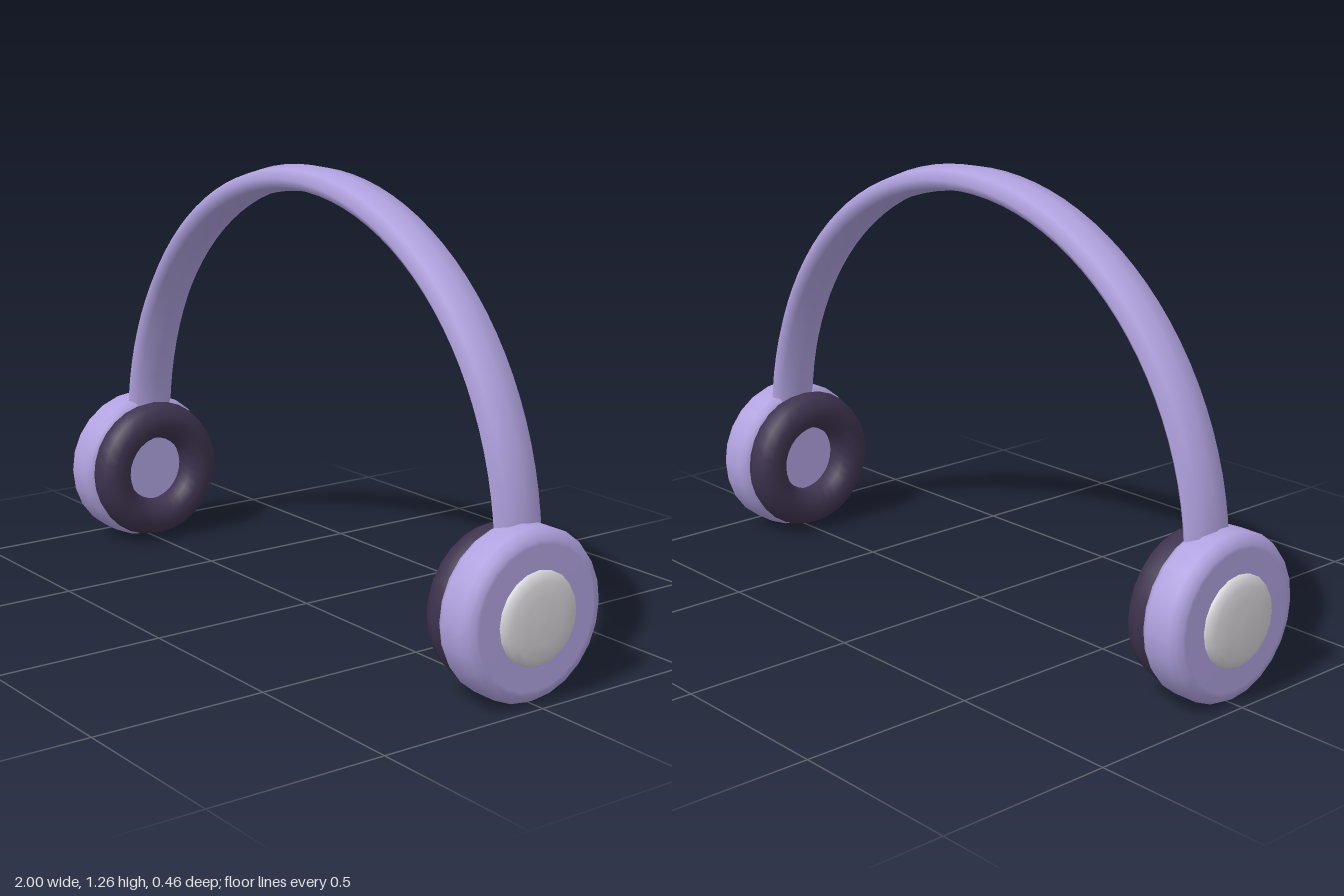
import * as THREE from 'three';

export function createModel() {
  const lilac = new THREE.MeshStandardMaterial({ name: 'lilac shell', color: 0xb0a2df });
  const plum = new THREE.MeshStandardMaterial({ name: 'dark plum cushion', color: 0x3d334e });
  const silver = new THREE.MeshStandardMaterial({ name: 'pale grey disc', color: 0xd6d3d8 });

  const model = new THREE.Group();
  model.name = 'headphones';

  const add = (parent, name, geometry, material) => {
    const mesh = new THREE.Mesh(geometry, material);
    mesh.name = name;
    parent.add(mesh);
    return mesh;
  };

  // Solid of revolution about the x axis, from [radius, x] pairs
  const turned = (profile, sides) =>
    new THREE.LatheGeometry(profile.map(([r, x]) => new THREE.Vector2(r, x)), sides).rotateZ(-Math.PI / 2);

  // Headband: half ring with a wide oval section, set slightly back
  const band = new THREE.TorusGeometry(0.878, 0.0375, 8, 48, Math.PI);
  band.scale(1, 1, 2.09);
  add(model, 'headband', band, lilac).position.set(0, 0.35, -0.016);

  // Ear cups: built facing +x, then turned round for the other side
  const shell = turned([
    [0, 0.845], [0.19, 0.845], [0.2, 0.845], [0.218, 0.855], [0.228, 0.873],
    [0.228, 0.945], [0.218, 0.963], [0.2, 0.972], [0.19, 0.973], [0, 0.973],
  ], 24);
  const disc = turned([
    [0.125, 0.965], [0.125, 0.976], [0.118, 0.986], [0.1, 0.994], [0.06, 0.999], [0, 1],
  ], 20);
  const cushion = new THREE.TorusGeometry(0.157, 0.058, 10, 28).rotateY(Math.PI / 2);

  for (const [side, turn] of [['left', 0], ['right', Math.PI]]) {
    const cup = new THREE.Group();
    cup.name = side + 'EarCup';
    cup.position.y = 0.23;
    cup.rotation.y = turn;
    add(cup, side + 'Shell', shell, lilac);
    add(cup, side + 'Disc', disc, silver);
    add(cup, side + 'Cushion', cushion, plum).position.x = 0.823;
    model.add(cup);
  }

  return model;
}
